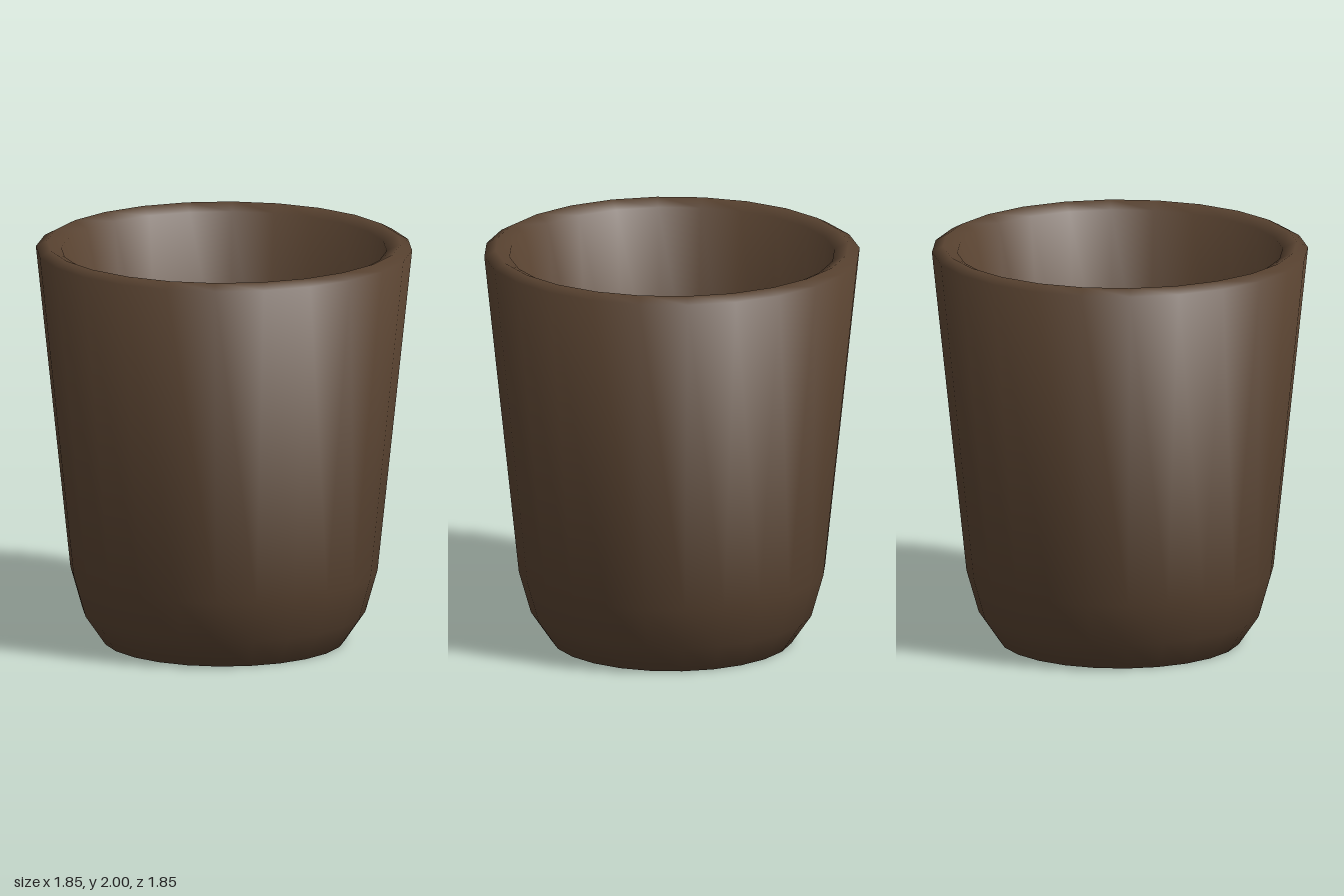
import * as THREE from 'three';

const SIDES = 24;

// Lathe whose ring normals are the even average of the two adjoining slopes
function turnedGeometry(points) {
  const profile = points.map(([r, y]) => new THREE.Vector2(r, y));
  const slopes = profile.slice(1).map((p, i) => {
    const d = p.clone().sub(profile[i]).normalize();
    return new THREE.Vector2(d.y, -d.x);
  });
  const ringNormals = profile.map((_, i) => {
    const before = slopes[Math.max(i - 1, 0)];
    const after = slopes[Math.min(i, slopes.length - 1)];
    return before.clone().add(after).normalize();
  });

  const geometry = new THREE.LatheGeometry(profile, SIDES);
  const normal = geometry.attributes.normal;
  for (let i = 0; i < normal.count; i++) {
    const angle = Math.floor(i / profile.length) * 2 * Math.PI / SIDES;
    const n = ringNormals[i % profile.length];
    normal.setXYZ(i, n.x * Math.sin(angle), n.y, n.x * Math.cos(angle));
  }
  return geometry;
}

export function createModel() {
  const cup = new THREE.Group();
  cup.name = 'cup';
  const clay = new THREE.MeshStandardMaterial({ color: 0x584230 });

  const addTurned = (name, points) => {
    const mesh = new THREE.Mesh(turnedGeometry(points), clay);
    mesh.name = name;
    cup.add(mesh);
  };

  // Base, rounded foot, outer wall, soft rim and inner wall in one smooth skin
  addTurned('wall', [
    [0, 0], [0.595, 0], [0.695, 0.145], [0.755, 0.355], [0.925, 1.97],
    [0.87, 2], [0.8, 1.966],
    [0.692, 0.9], [0.685, 0.4], [0.63, 0.2], [0.53, 0.065],
  ]);

  // Flat floor inside, with a sharp edge to the wall
  addTurned('innerFloor', [[0.53, 0.065], [0, 0.065]]);

  return cup;
}
